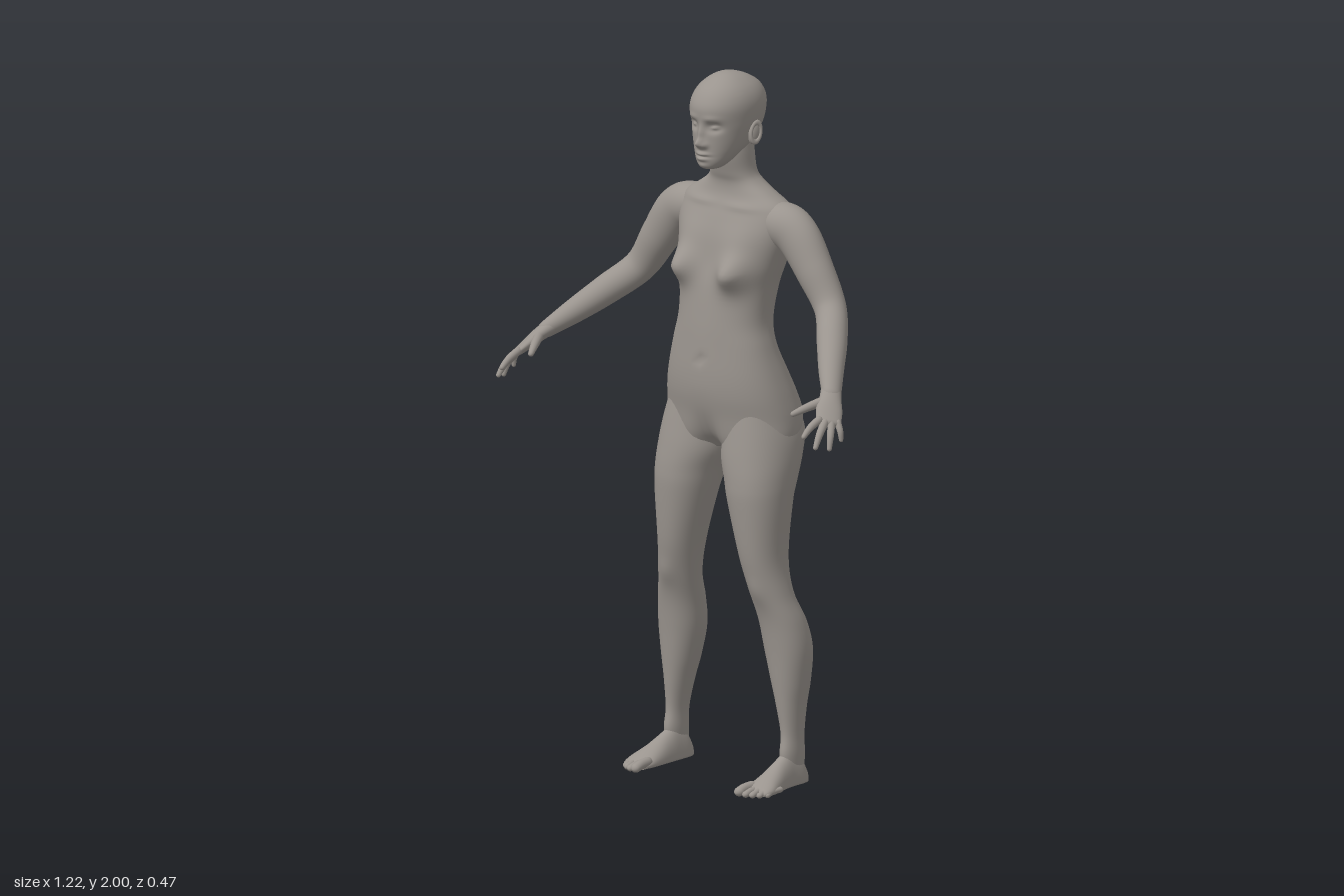
import * as THREE from 'three';

const skin = new THREE.MeshStandardMaterial({ color: 0x9a948e });
skin.name = 'warmGrey';
const V = (x, y, z) => new THREE.Vector3(x, y, z);

// Smoothly resample rows of numbers, with `steps` samples between neighbours
function spline(rows, steps) {
  const out = [];
  const at = (i) => rows[Math.max(0, Math.min(rows.length - 1, i))];
  for (let i = 0; i < rows.length - 1; i++) {
    for (let s = 0; s < steps; s++) {
      const t = s / steps;
      out.push(rows[i].map((b, k) => {
        const a = at(i - 1)[k], c = at(i + 1)[k], d = at(i + 2)[k];
        return b + 0.5 * t * (c - a + t * (2 * a - 5 * b + 4 * c - d + t * (3 * (b - c) + d - a)));
      }));
    }
  }
  out.push(rows[rows.length - 1]);
  return out;
}

// Skin a list of closed rings and close both ends
function loft(rings) {
  const n = rings[0].length, pos = [], index = [];
  rings.forEach((r) => r.forEach((p) => pos.push(p.x, p.y, p.z)));
  for (let j = 0; j < rings.length - 1; j++) {
    for (let i = 0; i < n; i++) {
      const a = j * n + i, b = j * n + ((i + 1) % n);
      index.push(a, a + n, b, b, a + n, b + n);
    }
  }
  [0, rings.length - 1].forEach((j, end) => {
    const c = rings[j].reduce((s, p) => s.add(p), V(0, 0, 0)).divideScalar(n);
    const k = pos.length / 3;
    pos.push(c.x, c.y, c.z);
    for (let i = 0; i < n; i++) {
      const a = j * n + i, b = j * n + ((i + 1) % n);
      if (end) index.push(a, k, b); else index.push(a, b, k);
    }
  });
  const g = new THREE.BufferGeometry();
  g.setAttribute('position', new THREE.Float32BufferAttribute(pos, 3));
  g.setIndex(index);
  g.computeVertexNormals();
  return g;
}

// Superellipse ring around the y axis from x and z limits
function ring(y, x0, x1, zf, zb, power, n) {
  const pw = (v) => Math.sign(v) * Math.abs(v) ** (2 / power);
  return Array.from({ length: n }, (_, i) => {
    const a = (i / n) * Math.PI * 2;
    return V((x0 + x1) / 2 + (x1 - x0) / 2 * pw(Math.cos(a)), y, (zf + zb) / 2 + (zf - zb) / 2 * pw(Math.sin(a)));
  });
}

// Elliptical tube with rounded ends; rows are [x, y, z, radius along side, other radius]
function tube(rows, side, steps = 6, n = 24) {
  const pts = spline(rows, steps), rings = [], last = pts.length - 1;
  const add = (i, shift, k) => {
    const a = pts[Math.max(0, i - 1)], b = pts[Math.min(last, i + 1)], p = pts[i];
    const T = V(b[0] - a[0], b[1] - a[1], b[2] - a[2]).normalize();
    const S = side.clone().addScaledVector(T, -side.dot(T)).normalize();
    const N = S.clone().cross(T);
    const c = V(p[0], p[1], p[2]).addScaledVector(T, shift * p[4]);
    rings.push(Array.from({ length: n }, (_, j) => {
      const t = (j / n) * Math.PI * 2;
      return c.clone().addScaledVector(S, Math.cos(t) * p[3] * k).addScaledVector(N, Math.sin(t) * p[4] * k);
    }));
  };
  const cap = [1.5, 1.2, 0.8, 0.4];
  cap.forEach((t) => add(0, -Math.sin(t), Math.cos(t)));
  pts.forEach((_, i) => add(i, 0, 1));
  cap.slice().reverse().forEach((t) => add(last, Math.sin(t), Math.cos(t)));
  return loft(rings);
}

function mirrored(geometry) {
  const g = geometry.clone().scale(-1, 1, 1), ix = g.index.array;
  for (let i = 0; i < ix.length; i += 3) [ix[i], ix[i + 1]] = [ix[i + 1], ix[i]];
  g.computeVertexNormals();
  return g;
}

// Soft bump mirrored about x = 0
const bump = (p, cx, cy, sx, sy, amount) =>
  amount * Math.exp(-(((Math.abs(p.x) - cx) / sx) ** 2) - ((p.y - cy) / sy) ** 2);

// Torso and neck: y, half width, front z, back z, back groove, front groove
function torsoGeometry() {
  const rows = [
    [0.935, 0.19, 0.0, -0.17, 0.08, 0.06], [0.98, 0.212, 0.014, -0.218, 0.05, 0.025],
    [1.04, 0.211, 0.024, -0.242, 0.038, 0.004], [1.10, 0.2, 0.035, -0.227, 0.02, 0],
    [1.16, 0.184, 0.038, -0.202, 0.01, 0], [1.24, 0.16, 0.034, -0.17, 0.012, 0],
    [1.31, 0.143, 0.03, -0.172, 0.014, 0.002], [1.40, 0.148, 0.02, -0.192, 0.018, 0.004],
    [1.47, 0.165, 0.003, -0.208, 0.018, 0.004], [1.54, 0.184, -0.012, -0.217, 0.016, 0.002],
    [1.59, 0.192, -0.03, -0.212, 0.012, 0], [1.63, 0.178, -0.046, -0.198, 0.006, 0],
    [1.66, 0.132, -0.056, -0.182, 0, 0], [1.69, 0.088, -0.057, -0.168, 0, 0],
    [1.72, 0.068, -0.047, -0.157, 0, 0], [1.78, 0.062, -0.032, -0.153, 0, 0], [1.84, 0.055, -0.04, -0.148, 0, 0],
  ];
  return loft(spline(rows, 6).map(([y, w, zf, zb, back, front]) => {
    const r = ring(y, -w, w, zf, zb, 2.25, 80), mid = (zf + zb) / 2;
    r.forEach((p) => {
      const s = (p.z - mid) / ((zf - zb) / 2);
      if (s < 0) p.z += -s * back * Math.exp(-((p.x / 0.035) ** 2));
      else {
        p.z -= s * front * Math.exp(-((p.x / 0.04) ** 2));
        p.z += s * (bump(p, 0.098, 1.45, 0.046, 0.045, 0.058) + bump(p, 0.1, 1.52, 0.06, 0.07, 0.012)
          + bump(p, 0.112, 1.448, 0.01, 0.01, 0.006) + bump(p, 0, 1.2, 0.012, 0.012, -0.008)
          + bump(p, 0.08, 1.628, 0.06, 0.01, 0.005));
      }
    });
    return r;
  }));
}

// Head: y, half width, front z, back z, with facial relief
function headGeometry() {
  const rows = [
    [1.737, 0.012, 0.008, -0.02], [1.743, 0.03, 0.021, -0.045], [1.76, 0.047, 0.028, -0.075],
    [1.785, 0.062, 0.029, -0.115], [1.81, 0.073, 0.03, -0.15], [1.84, 0.082, 0.031, -0.175],
    [1.87, 0.088, 0.034, -0.19], [1.91, 0.091, 0.037, -0.197], [1.94, 0.085, 0.026, -0.19],
    [1.965, 0.07, 0.006, -0.172], [1.985, 0.047, -0.024, -0.138], [1.996, 0.024, -0.05, -0.105], [2.0, 0.002, -0.074, -0.078],
  ];
  return loft(spline(rows, 8).map(([y, w, zf, zb]) => {
    const r = ring(y, -w, w, zf, zb, 2.15, 120), mid = (zf + zb) / 2;
    r.forEach((p) => {
      const s = (p.z - mid) / ((zf - zb) / 2);
      if (s < 0.2) return;
      p.z += bump(p, 0, 1.815, 0.012, 0.013, 0.022) + bump(p, 0, 1.84, 0.009, 0.022, 0.011) // nose
        + bump(p, 0.014, 1.81, 0.008, 0.008, 0.008)
        + bump(p, 0.036, 1.862, 0.019, 0.013, -0.018) + bump(p, 0.037, 1.861, 0.011, 0.006, 0.013) // eyes
        + bump(p, 0.034, 1.886, 0.022, 0.008, 0.004)
        + bump(p, 0, 1.784, 0.02, 0.005, 0.009) + bump(p, 0, 1.77, 0.017, 0.006, 0.009) // lips
        + bump(p, 0, 1.777, 0.022, 0.003, -0.005) + bump(p, 0, 1.75, 0.016, 0.008, 0.004);
    });
    return r;
  }));
}

// Leg: y, inner x, outer x, front z, back z
function legGeometry() {
  const rows = [
    [0.03, 0.192, 0.236, -0.075, -0.145], [0.09, 0.189, 0.239, -0.062, -0.148], [0.15, 0.187, 0.238, -0.069, -0.147],
    [0.23, 0.17, 0.244, -0.062, -0.158], [0.30, 0.15, 0.254, -0.055, -0.17], [0.39, 0.128, 0.262, -0.046, -0.175],
    [0.47, 0.119, 0.252, -0.034, -0.158], [0.55, 0.109, 0.228, -0.012, -0.13], [0.65, 0.09, 0.212, 0.014, -0.131],
    [0.80, 0.05, 0.22, 0.03, -0.153], [0.865, 0.032, 0.223, 0.031, -0.176], [0.93, 0.01, 0.222, 0.025, -0.204],
    [1.0, 0.012, 0.212, 0.014, -0.222], [1.08, 0.03, 0.185, 0, -0.195],
  ];
  return loft(spline(rows, 6).map(([y, a, b, zf, zb]) => {
    const r = ring(y, a, b, zf, zb, 2.15, 48);
    r.forEach((p) => { if (p.z > (zf + zb) / 2) p.z += bump(p, (a + b) / 2, 0.56, 0.03, 0.035, 0.007); });
    return r;
  }));
}

// Foot: z, centre x, half width, top y; flat underneath
function footGeometry() {
  const rows = [
    [-0.154, 0.212, 0.012, 0.03], [-0.148, 0.212, 0.024, 0.05], [-0.125, 0.212, 0.031, 0.085], [-0.085, 0.212, 0.032, 0.1],
    [-0.05, 0.214, 0.035, 0.083], [-0.01, 0.218, 0.041, 0.06], [0.025, 0.222, 0.046, 0.042], [0.05, 0.222, 0.043, 0.028], [0.062, 0.219, 0.034, 0.018],
  ];
  return loft(spline(rows, 5).map(([z, x, w, top]) => Array.from({ length: 40 }, (_, i) => {
    const t = (i / 40) * Math.PI * 2, s = -Math.sin(t), low = Math.min(0.014, top / 2);
    return V(x + w * Math.cos(t), low + (s > 0 ? s * (top - low) : -(Math.abs(s) ** 0.5) * (low - 0.003)), z);
  })));
}

export function createModel() {
  const model = new THREE.Group();
  model.name = 'figure';
  const add = (name, g) => {
    const m = new THREE.Mesh(g, skin);
    m.name = name;
    model.add(m);
  };
  const pair = (name, g) => {
    add('left' + name, g);
    add('right' + name, mirrored(g));
  };

  add('torso', torsoGeometry());
  add('head', headGeometry());
  pair('Leg', legGeometry());
  pair('Foot', footGeometry());

  // Ears: a thin shell with a raised rim
  const shell = new THREE.SphereGeometry(1, 20, 14).scale(0.009, 0.031, 0.017).rotateX(-0.2).rotateY(-0.3);
  pair('Ear', shell.translate(0.089, 1.836, -0.087));
  const rim = new THREE.TorusGeometry(0.015, 0.0045, 10, 28).scale(1, 1.8, 1);
  pair('EarRim', rim.rotateY(Math.PI / 2 - 0.35).rotateX(-0.2).translate(0.095, 1.839, -0.089));

  // Arms
  pair('Arm', tube([
    [0.1, 1.578, -0.125, 0.055, 0.05], [0.17, 1.583, -0.122, 0.062, 0.063], [0.225, 1.555, -0.12, 0.056, 0.064],
    [0.285, 1.475, -0.118, 0.051, 0.056], [0.35, 1.38, -0.11, 0.044, 0.046], [0.415, 1.313, -0.045, 0.043, 0.042],
    [0.475, 1.253, 0.025, 0.036, 0.034], [0.527, 1.203, 0.082, 0.028, 0.023],
  ], V(0, 0, 1), 8, 36));

  // Hands
  const across = V(-0.57, 0.08, 0.82);
  pair('Palm', tube([
    [0.515, 1.214, 0.07, 0.028, 0.023], [0.535, 1.193, 0.095, 0.031, 0.02],
    [0.553, 1.17, 0.12, 0.037, 0.017], [0.573, 1.145, 0.145, 0.035, 0.012],
  ], across, 6, 28));
  const fingers = {
    Thumb: [[0.53, 1.193, 0.105, 0.014], [0.506, 1.178, 0.152, 0.012], [0.485, 1.162, 0.192, 0.008]],
    IndexFinger: [[0.556, 1.152, 0.166, 0.0115], [0.557, 1.137, 0.203, 0.01], [0.558, 1.117, 0.23, 0.007]],
    MiddleFinger: [[0.568, 1.146, 0.155, 0.0115], [0.58, 1.119, 0.19, 0.01], [0.586, 1.088, 0.213, 0.007]],
    RingFinger: [[0.58, 1.142, 0.141, 0.011], [0.596, 1.111, 0.163, 0.0095], [0.602, 1.08, 0.174, 0.007]],
    LittleFinger: [[0.589, 1.142, 0.125, 0.01], [0.602, 1.12, 0.129, 0.0085], [0.605, 1.097, 0.129, 0.006]],
  };
  for (const [name, rows] of Object.entries(fingers)) {
    pair(name, tube(rows.map((r) => [...r, r[3]]), across, 5, 14));
  }

  // Toes, from the big toe outwards
  const tips = [[0.191, 0.088, 0.0145], [0.213, 0.086, 0.01], [0.231, 0.078, 0.0095], [0.247, 0.066, 0.009], [0.26, 0.048, 0.0085]];
  tips.forEach(([x, z, r], i) => pair('Toe' + (i + 1), tube([
    [x + 0.002, r + 0.008, z - 0.05, r, r], [x, r + 0.006, z - 0.02, r * 0.95, r * 0.95], [x, r + 0.001, z, r, r * 0.9],
  ], V(1, 0, 0), 5, 16)));

  return model;
}
